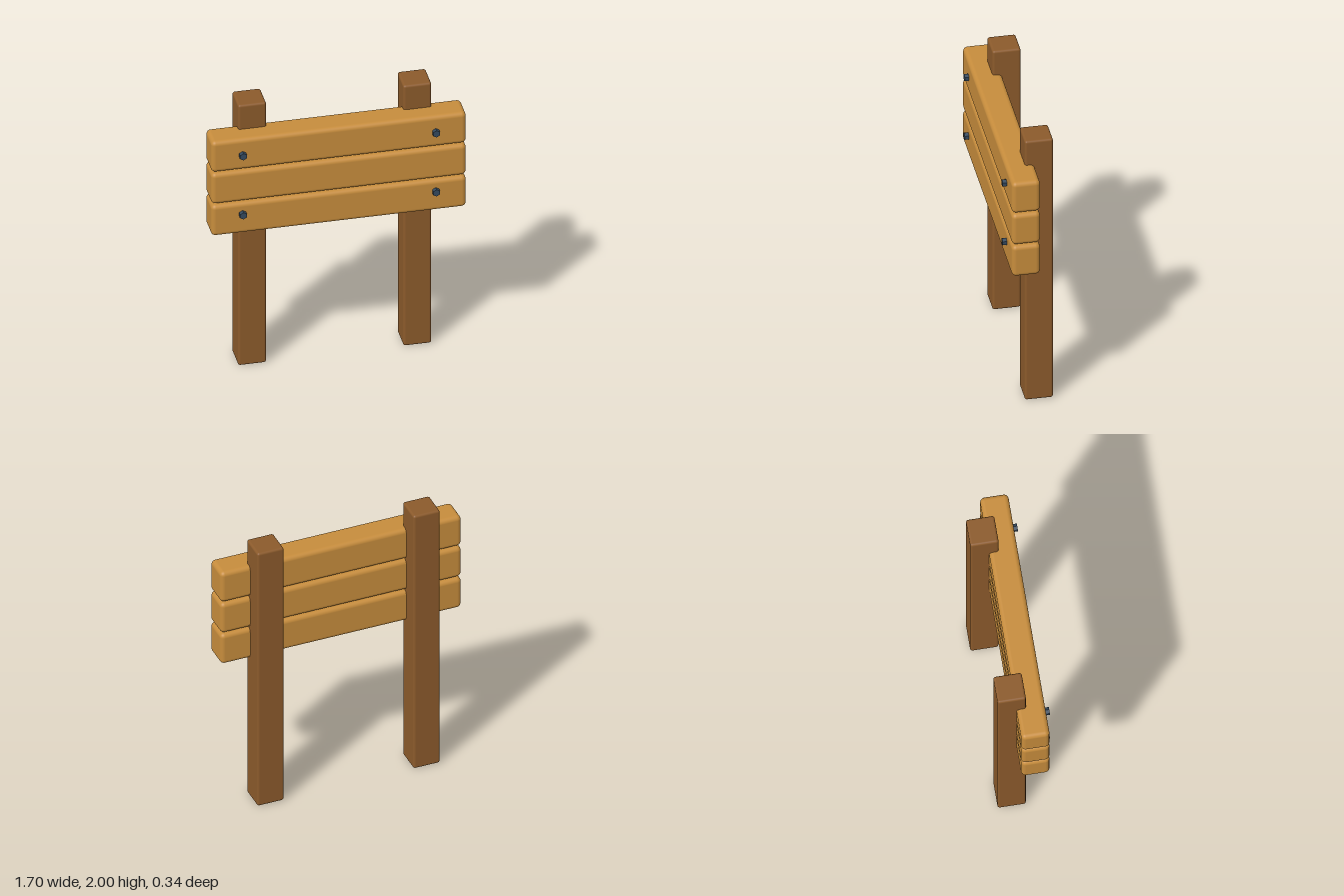
import * as THREE from 'three';
import { RoundedBoxGeometry } from 'three/addons/geometries/RoundedBoxGeometry.js';

const plankWood = new THREE.MeshStandardMaterial({ name: 'plankWood', color: 0xc68c3c });
const postWood = new THREE.MeshStandardMaterial({ name: 'postWood', color: 0x8b5a2b });
const boltMetal = new THREE.MeshStandardMaterial({ name: 'boltMetal', color: 0x34495e });

export function createModel() {
  const model = new THREE.Group();
  model.name = 'woodenSign';

  const add = (name, geometry, material, x, y, z) => {
    const mesh = new THREE.Mesh(geometry, material);
    mesh.name = name;
    mesh.position.set(x, y, z);
    model.add(mesh);
  };

  // Two upright posts
  const post = new RoundedBoxGeometry(0.187, 2, 0.187, 3, 0.016);
  for (const side of [-1, 1]) {
    add(side > 0 ? 'leftPost' : 'rightPost', post, postWood, side * 0.55, 1, -0.076);
  }

  // Three planks, let slightly into the posts
  const plank = new RoundedBoxGeometry(1.696, 0.234, 0.187, 4, 0.03);
  ['lowerPlank', 'middlePlank', 'upperPlank'].forEach((name, i) => {
    add(name, plank, plankWood, 0, 1.212 + i * 0.2445, 0.048);
  });

  // Hexagonal bolt heads on the upper and lower planks
  const bolt = new THREE.CylinderGeometry(0.026, 0.026, 0.03, 6).toNonIndexed();
  bolt.rotateX(Math.PI / 2);
  bolt.computeVertexNormals();
  for (const x of [-0.643, 0.643]) {
    for (const y of [1.247, 1.701]) add('bolt', bolt, boltMetal, x, y, 0.155);
  }

  return model;
}
